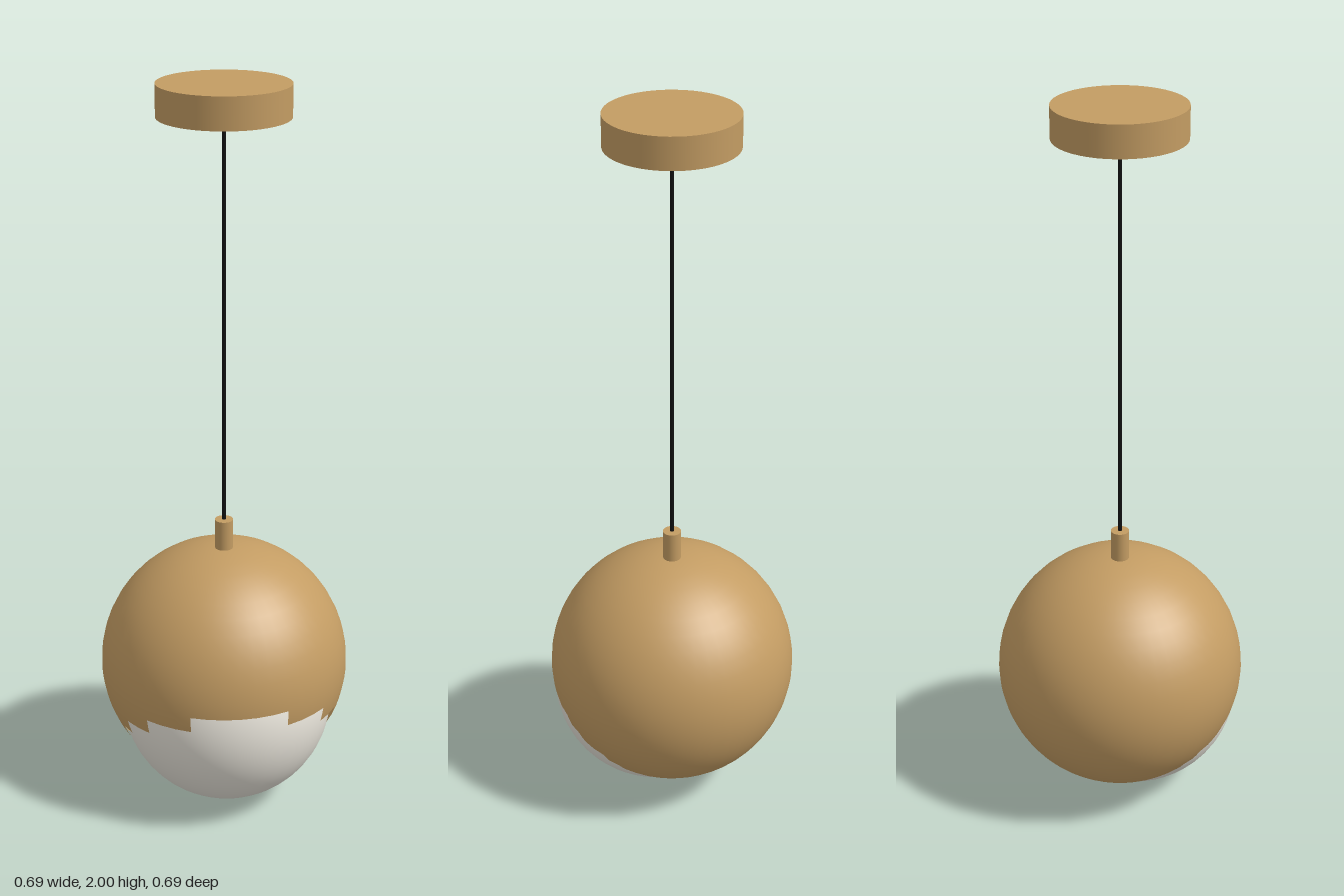
import * as THREE from 'three';
import { mergeGeometries } from 'three/addons/utils/BufferGeometryUtils.js';

const brass = new THREE.MeshStandardMaterial({ color: 0xc39c63 });
const brassShell = new THREE.MeshStandardMaterial({ color: 0xc39c63, side: THREE.DoubleSide });
const glass = new THREE.MeshStandardMaterial({ color: 0xe8e4da });
const black = new THREE.MeshStandardMaterial({ color: 0x111111 });

function add(group, name, geometry, material, y, z = 0) {
  const mesh = new THREE.Mesh(geometry, material);
  mesh.name = name;
  mesh.position.set(0, y, z);
  group.add(mesh);
}

// Spherical shell with a stepped, slanted opening towards the front and below.
function shellGeometry(radius) {
  const step = Math.PI / 24;
  // Half-width of the opening, in segments, for each band below the equator.
  const cut = [3, 6, 8, 9, 11, 12, 13, 15, 18];
  const parts = [new THREE.SphereGeometry(radius, 48, 12, 0, Math.PI * 2, 0, Math.PI / 2)];
  cut.forEach((n, i) => {
    parts.push(new THREE.SphereGeometry(
      radius, 48 - 2 * n, 1,
      Math.PI / 2 + n * step, Math.PI * 2 - 2 * n * step,
      Math.PI / 2 + i * step, step
    ));
  });
  return mergeGeometries(parts);
}

export function createModel() {
  const group = new THREE.Group();
  group.name = 'pendantLamp';

  // Ceiling mount and suspension
  add(group, 'ceilingCanopy', new THREE.CylinderGeometry(0.172, 0.172, 0.084, 48), brass, 1.958);
  add(group, 'cable', new THREE.CylinderGeometry(0.005, 0.005, 1.14, 12), black, 1.36);
  add(group, 'cableSocket', new THREE.CylinderGeometry(0.025, 0.025, 0.1, 24), brass, 0.76);

  // Metal shade with the offset diffuser globe peeking out
  add(group, 'shadeShell', shellGeometry(0.345), brassShell, 0.382);
  add(group, 'diffuserGlobe', new THREE.SphereGeometry(0.293, 48, 32), glass, 0.293, 0.055);

  return group;
}
